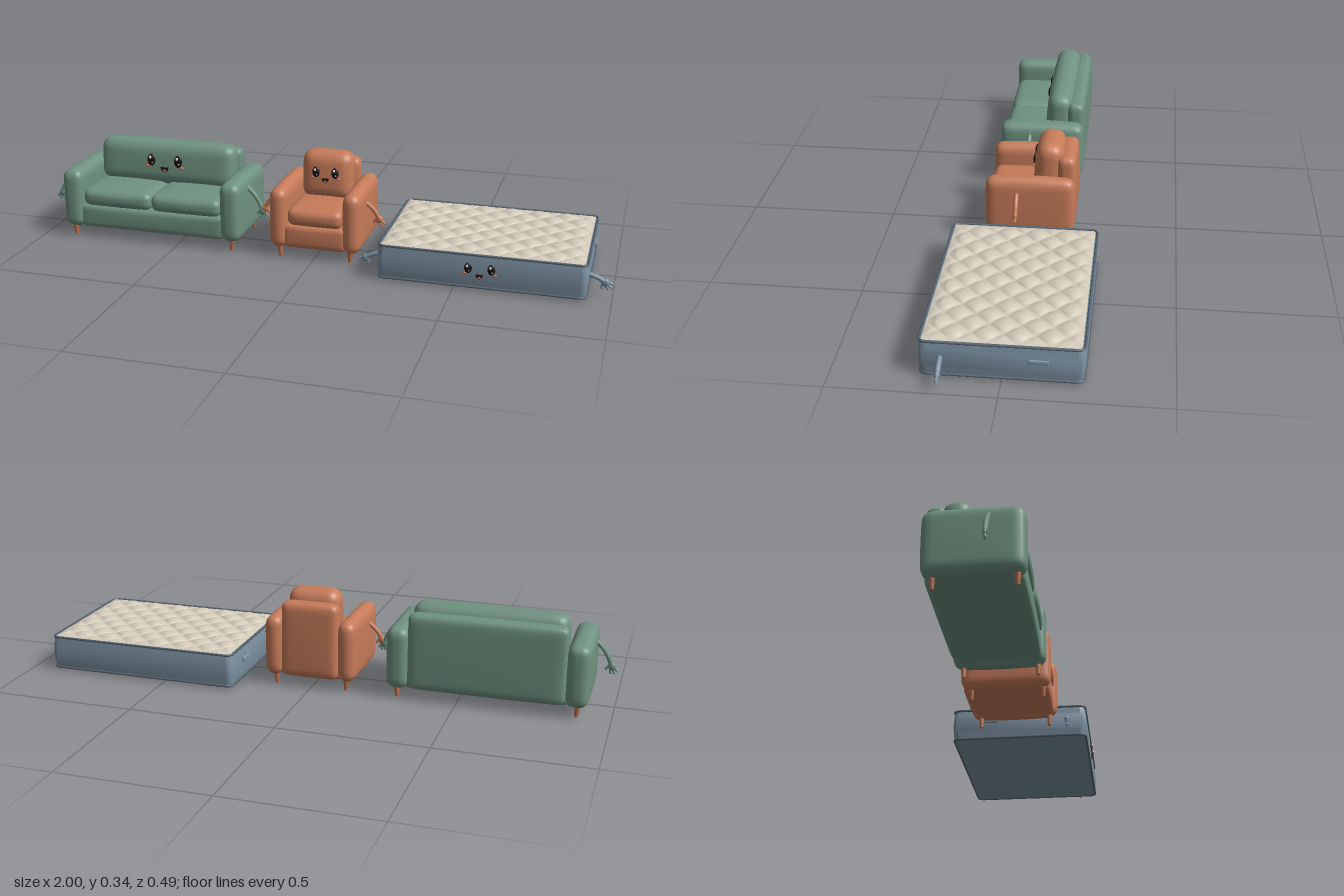
import * as THREE from 'three';
import { mergeVertices, toCreasedNormals } from 'three/addons/utils/BufferGeometryUtils.js';

const paint = (name, hex) => {
  const m = new THREE.MeshStandardMaterial({ color: hex });
  m.name = name;
  return m;
};

export function createModel() {
  const green = paint('sage fabric', 0x6f9281);
  const orange = paint('terracotta fabric', 0xc67b59);
  const blue = paint('blue grey fabric', 0x7d92a3);
  const wood = paint('leg wood', 0xb9714e);
  const cream = paint('quilt cream', 0xd3cab9);
  const trim = paint('dark piping', 0x55626e);
  const black = paint('face black', 0x1b1413);
  const white = paint('eye glint', 0xffffff);
  const pink = paint('blush', 0xd9705a);

  const add = (parent, name, geo, mat, x = 0, y = 0, z = 0) => {
    const m = new THREE.Mesh(geo, mat);
    m.name = name;
    m.position.set(x, y, z);
    parent.add(m);
    return m;
  };
  const group = (parent, name, x = 0, y = 0, z = 0) => {
    const g = new THREE.Group();
    g.name = name;
    g.position.set(x, y, z);
    parent.add(g);
    return g;
  };

  // Rounded box with crowded edge loops and faces that swell by the given amounts
  function softBox(w, h, d, r, px = 0, py = 0, pz = 0) {
    let g = new THREE.BoxGeometry(2, 2, 2, 18, 18, 18);
    g.deleteAttribute('uv');
    g.deleteAttribute('normal');
    g = mergeVertices(g);
    const pos = g.attributes.position;
    const half = new THREE.Vector3(w / 2, h / 2, d / 2);
    const core = half.clone().subScalar(r);
    const p = new THREE.Vector3(), inner = new THREE.Vector3();
    const crowd = t => Math.sin(t * Math.PI / 2);
    for (let i = 0; i < pos.count; i++) {
      p.fromBufferAttribute(pos, i);
      p.set(crowd(p.x), crowd(p.y), crowd(p.z)).multiply(half);
      inner.copy(p).clamp(core.clone().negate(), core);
      p.sub(inner).setLength(r).add(inner);
      const u = p.clone().divide(half);
      const fx = 1 - u.x * u.x, fy = 1 - u.y * u.y, fz = 1 - u.z * u.z;
      pos.setXYZ(i, p.x + px * u.x * fy * fz, p.y + py * u.y * fx * fz, p.z + pz * u.z * fx * fy);
    }
    g.computeVertexNormals();
    return g;
  }

  const ball = new THREE.SphereGeometry(1, 20, 14);
  const blob = (parent, name, mat, x, y, z, sx, sy, sz) =>
    add(parent, name, ball, mat, x, y, z).scale.set(sx, sy, sz);

  // Face: eyes with glints, cheeks, smile and tongue
  function face(parent, x, y, z, gap, s) {
    const f = group(parent, 'face', x, y, z);
    for (const side of [-1, 1]) {
      blob(f, 'eye', black, side * gap, 0, 0, 0.0145 * s, 0.021 * s, 0.006);
      blob(f, 'eyeGlint', white, side * gap - 0.003 * s, 0.009 * s, 0.0045, 0.005 * s, 0.006 * s, 0.003);
      blob(f, 'lowerGlint', white, side * gap + 0.004 * s, -0.009 * s, 0.0045, 0.0025 * s, 0.003 * s, 0.002);
      blob(f, 'cheek', pink, side * (gap + 0.013 * s), -0.022 * s, -0.001, 0.009 * s, 0.005 * s, 0.003);
    }
    const mouth = new THREE.Shape();
    mouth.moveTo(-0.014 * s, 0);
    mouth.lineTo(0.014 * s, 0);
    mouth.quadraticCurveTo(0.011 * s, -0.016 * s, 0, -0.016 * s);
    mouth.quadraticCurveTo(-0.011 * s, -0.016 * s, -0.014 * s, 0);
    add(f, 'mouth', new THREE.ExtrudeGeometry(mouth, { depth: 0.006, bevelEnabled: false }), black, 0, -0.023 * s, -0.002);
    blob(f, 'tongue', pink, 0, -0.034 * s, 0.0035, 0.007 * s, 0.004 * s, 0.002);
  }

  // Slim arm built toward +x, mirrored by side; ends in a four-fingered hand
  function limb(parent, side, mat, x, y, z, dx, dy) {
    const a = group(parent, side > 0 ? 'leftArm' : 'rightArm', x, y, z);
    const path = new THREE.QuadraticBezierCurve3(
      new THREE.Vector3(-side * 0.01, 0, 0),
      new THREE.Vector3(side * dx * 0.6, dy * 0.3, 0),
      new THREE.Vector3(side * dx, dy, 0));
    add(a, 'sleeve', new THREE.TubeGeometry(path, 16, 0.0078, 10), mat);
    blob(a, 'shoulder', mat, -side * 0.008, 0, 0, 0.011, 0.011, 0.0095);
    const hand = group(a, 'hand', side * dx, dy, 0);
    const t = path.getTangent(1);
    hand.rotation.z = Math.atan2(t.y, t.x) + Math.PI / 2;
    blob(hand, 'palm', mat, 0, -0.008, 0, 0.013, 0.014, 0.008);
    const finger = new THREE.CapsuleGeometry(0.0042, 0.013, 4, 8);
    for (const [fx, fy, tilt] of [[-0.009, -0.021, -0.35], [0, -0.025, 0], [0.009, -0.021, 0.35], [-side * 0.015, -0.007, -side * 1.0]])
      add(hand, 'finger', finger, mat, fx, fy, 0).rotation.z = tilt;
  }

  // Upholstered seat shared by the sofa and the armchair
  function seat(root, name, o) {
    const g = group(root, name, o.x);
    const innerW = o.w - 2 * o.armW;
    add(g, 'base', softBox(innerW + 0.03, 0.085, 0.27, 0.018, 0, 0, 0.005), o.mat, 0, 0.0775, 0);
    add(g, 'backFrame', softBox(innerW + 0.006, 0.262, 0.062, 0.025, 0, 0.002, 0.003), o.mat, 0, 0.168, -0.122);
    const cw = innerW / o.cushions;
    for (let i = 0; i < o.cushions; i++)
      add(g, 'seatCushion', softBox(cw - 0.001, 0.062, 0.225, 0.024, 0, 0.006, 0.006), o.mat,
        (i - (o.cushions - 1) / 2) * cw, 0.147, 0.026);
    const bh = o.top - 0.165;
    const back = group(g, 'backCushion', 0, 0.165 + bh / 2, -0.06);
    back.rotation.x = -0.09;
    add(back, 'cushion', softBox(o.backW, bh, 0.09, 0.04, 0, 0.003, 0.006), o.mat);
    face(back, 0, o.eyeY - 0.165 - bh / 2, 0.051, o.gap, o.faceSize);
    for (const side of [-1, 1]) {
      add(g, 'armrest', softBox(o.armW, 0.207, 0.298, 0.03, 0.003, 0.006, 0.002), o.mat,
        side * (o.w - o.armW) / 2, 0.1385, -0.003);
      limb(g, side, o.mat, side * o.w / 2, o.shoulderY, 0.04, o.reach, o.drop);
      for (const z of [-0.12, 0.12]) {
        const leg = add(g, 'leg', new THREE.CylinderGeometry(0.011, 0.006, 0.05, 14), wood,
          side * (o.w / 2 - 0.035), 0.025, z);
        leg.rotation.z = -side * 0.08;
      }
    }
  }

  // Rounded rectangle lying flat, used for the mattress
  function outline(w, d, r) {
    const s = new THREE.Shape(), a = w / 2, b = d / 2;
    s.moveTo(-a + r, -b);
    s.lineTo(a - r, -b);
    s.absarc(a - r, -b + r, r, -Math.PI / 2, 0);
    s.lineTo(a, b - r);
    s.absarc(a - r, b - r, r, 0, Math.PI / 2);
    s.lineTo(-a + r, b);
    s.absarc(-a + r, b - r, r, Math.PI / 2, Math.PI);
    s.lineTo(-a, -b + r);
    s.absarc(-a + r, -b + r, r, Math.PI, Math.PI * 1.5);
    return s;
  }

  function mattress(root) {
    const W = 0.668, D = 0.474, H = 0.11;
    const g = group(root, 'mattress', 0.585);
    // Side walls with a slight bulge
    let body = new THREE.ExtrudeGeometry(outline(W, D, 0.02), { depth: H, steps: 10, curveSegments: 6, bevelEnabled: false });
    body.rotateX(-Math.PI / 2);
    const bp = body.attributes.position;
    for (let i = 0; i < bp.count; i++) {
      const b = 0.005 * Math.sin(Math.PI * bp.getY(i) / H);
      bp.setX(i, bp.getX(i) * (1 + 2 * b / W));
      bp.setZ(i, bp.getZ(i) * (1 + 2 * b / D));
    }
    add(g, 'mattressBody', toCreasedNormals(body, 0.7), blue, 0, 0.01, 0);
    // Piping round the top and bottom edges
    const loop = outline(W + 0.002, D + 0.002, 0.02).getPoints(6).slice(0, -1)
      .map(p => new THREE.Vector3(p.x, 0, p.y));
    const ring = new THREE.CurvePath();
    loop.forEach((p, i) => ring.add(new THREE.LineCurve3(p, loop[(i + 1) % loop.length])));
    const pipe = new THREE.TubeGeometry(ring, 240, 0.0042, 8, true);
    for (const y of [0.0105, 0.1205]) add(g, 'piping', pipe, trim, 0, y, 0);
    // Quilted top with diamond pillows
    const quilt = new THREE.PlaneGeometry(W - 0.012, D - 0.012, 130, 92);
    quilt.rotateX(-Math.PI / 2);
    const q = quilt.attributes.position, pitch = 0.094;
    for (let i = 0; i < q.count; i++) {
      const x = q.getX(i), z = q.getZ(i);
      const edge = Math.min(W / 2 - 0.006 - Math.abs(x), D / 2 - 0.006 - Math.abs(z));
      const puff = Math.sqrt(Math.abs(Math.sin(Math.PI * (x + z) / pitch) * Math.sin(Math.PI * (x - z) / pitch)));
      q.setY(i, 0.013 * puff * Math.min(1, Math.max(0, edge) / 0.03));
    }
    quilt.computeVertexNormals();
    add(g, 'quiltedTop', quilt, cream, 0, 0.1212, 0);
    for (const side of [-1, 1]) {
      add(g, 'handle', softBox(0.008, 0.015, 0.06, 0.0035), blue, side * 0.341, 0.0745, -0.107);
      limb(g, side, blue, side * 0.336, 0.073, 0.175, 0.048, -0.021);
    }
    face(g, 0, 0.076, 0.2425, 0.0375, 0.85);
  }

  const root = new THREE.Group();
  root.name = 'furnitureTrio';
  seat(root, 'sofa', {
    x: -0.594, w: 0.664, armW: 0.075, cushions: 2, backW: 0.512, top: 0.324, mat: green,
    eyeY: 0.256, gap: 0.051, faceSize: 1.05, shoulderY: 0.212, reach: 0.05, drop: -0.08,
  });
  seat(root, 'armchair', {
    x: 0.003, w: 0.318, armW: 0.062, cushions: 1, backW: 0.182, top: 0.335, mat: orange,
    eyeY: 0.264, gap: 0.034, faceSize: 0.9, shoulderY: 0.195, reach: 0.042, drop: -0.052,
  });
  mattress(root);
  return root;
}
